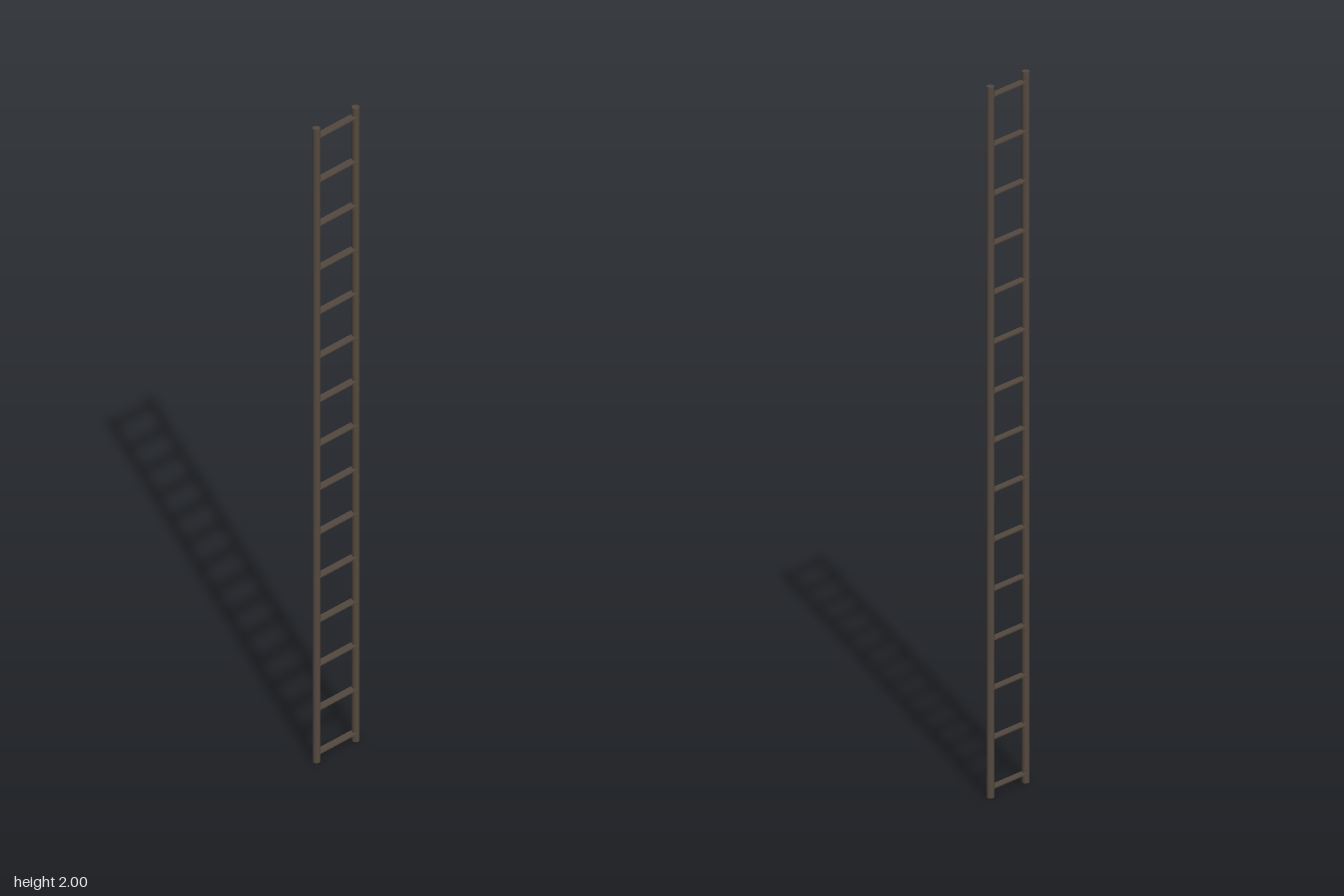
import * as THREE from 'three';

export function createModel() {
  const ladder = new THREE.Group();
  ladder.name = 'ladder';

  const darkBrown = new THREE.MeshStandardMaterial({ color: 0x54493f });
  darkBrown.name = 'darkBrown';

  const railRadius = 0.0105;
  const railZ = 0.071;

  // Two round upright rails
  const railGeometry = new THREE.CylinderGeometry(railRadius, railRadius, 2, 16);
  for (const side of [1, -1]) {
    const rail = new THREE.Mesh(railGeometry, darkBrown);
    rail.name = side > 0 ? 'frontRail' : 'backRail';
    rail.position.set(0, 1, side * railZ);
    ladder.add(rail);
  }

  // Fifteen thin flat rungs, evenly spaced and set into the rails
  const rungCount = 15;
  const firstRungY = 0.027;
  const rungSpacing = 0.139;
  const rungGeometry = new THREE.BoxGeometry(railRadius * 2, 0.004, railZ * 2);
  for (let i = 0; i < rungCount; i++) {
    const rung = new THREE.Mesh(rungGeometry, darkBrown);
    rung.name = `rung${i + 1}`;
    rung.position.y = firstRungY + i * rungSpacing;
    ladder.add(rung);
  }

  return ladder;
}
